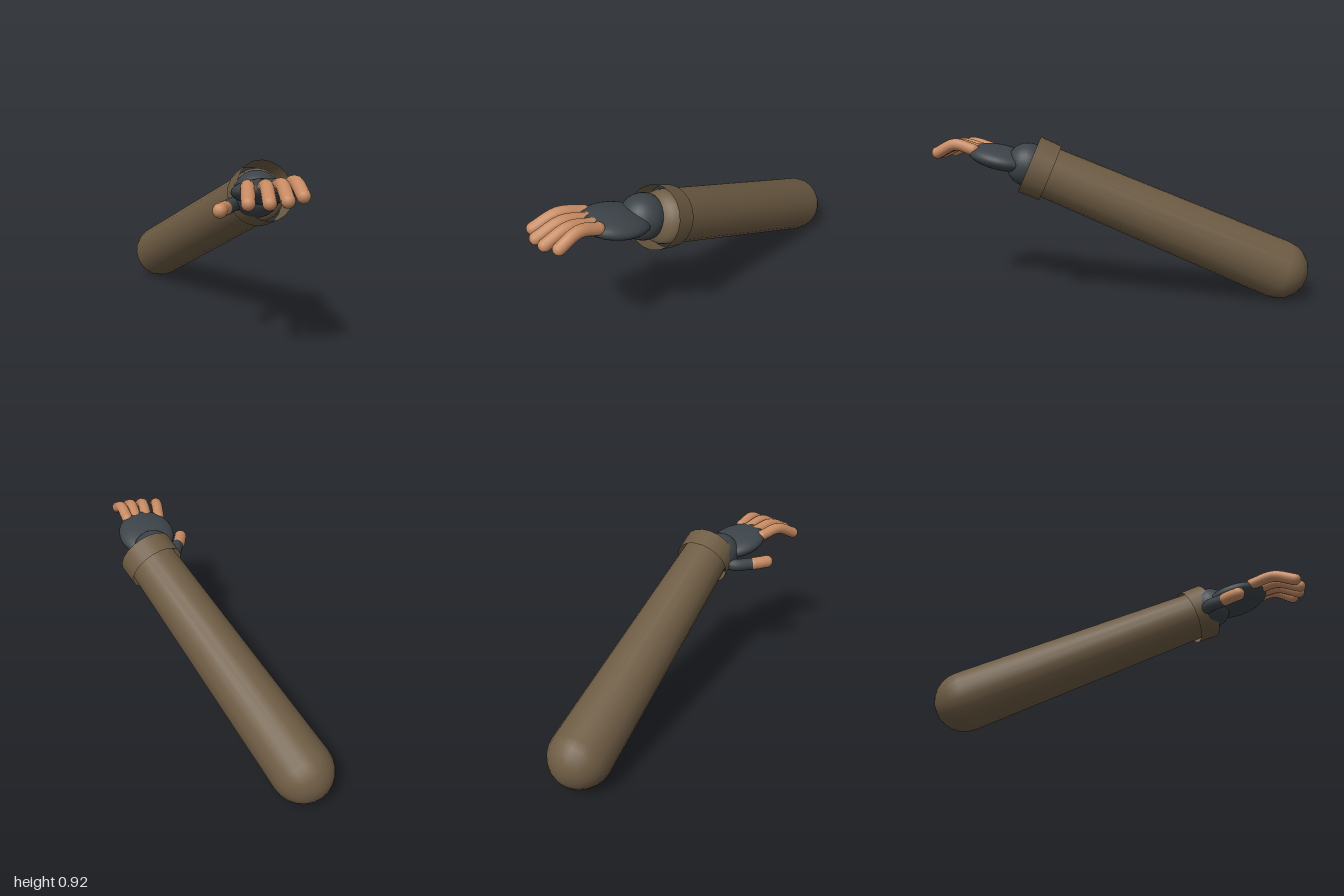
import * as THREE from 'three';

const V = (x, y, z) => new THREE.Vector3(x, y, z);
const UP = V(0, 1, 0);

export function createModel() {
  const mat = (name, color, side = THREE.FrontSide) => {
    const m = new THREE.MeshStandardMaterial({ color, side });
    m.name = name;
    return m;
  };
  const cloth = mat('brown cloth', 0x6e5c44, THREE.DoubleSide);
  const glove = mat('dark glove', 0x3c4348);
  const skin = mat('skin', 0xc68a62);

  const model = new THREE.Group();
  model.name = 'arm';
  const add = (name, geometry, material, parent = model) => {
    const mesh = new THREE.Mesh(geometry, material);
    mesh.name = name;
    parent.add(mesh);
    return mesh;
  };

  // Sleeve axis, elbow to wrist
  const elbow = V(0.30, 0.168, -0.833);
  const wrist = V(0.02, 0.745, 0.44);
  const axis = wrist.clone().sub(elbow);
  const length = axis.length();
  const forearm = new THREE.Group();
  forearm.name = 'forearm';
  forearm.position.copy(elbow);
  forearm.quaternion.setFromUnitVectors(UP, axis.normalize());
  model.add(forearm);

  // Sleeve: round elbow, slight taper, flattened dome at the wrist
  const profile = [];
  for (let i = 0; i <= 6; i++) {
    const a = (i / 6) * Math.PI / 2;
    profile.push(new THREE.Vector2(0.167 * Math.sin(a), -0.167 * Math.cos(a)));
  }
  for (let i = 0; i <= 6; i++) {
    const a = (i / 6) * Math.PI / 2;
    profile.push(new THREE.Vector2(0.138 * Math.cos(a), length + 0.07 * Math.sin(a)));
  }
  add('sleeve', new THREE.LatheGeometry(profile, 20), cloth, forearm);

  // Open cuff ring
  const cuff = add('cuff', new THREE.CylinderGeometry(0.16, 0.157, 0.118, 20, 1, true), cloth, forearm);
  cuff.position.y = length + 0.014;

  // Wrist ball
  const ball = add('wrist', new THREE.SphereGeometry(0.118, 24, 16), glove);
  ball.position.set(-0.053, 0.762, 0.502);

  // Palm: flattened ellipsoid, pitched up and turned outward
  const palm = add('palm', new THREE.SphereGeometry(1, 32, 20), glove);
  palm.scale.set(0.158, 0.062, 0.185);
  palm.position.set(-0.128, 0.797, 0.635);
  palm.rotation.set(-0.22, -0.55, 0, 'YXZ');

  // Rounded digit: a tube along a bent path with ball ends
  const digit = (name, points, radius, material) => {
    const group = new THREE.Group();
    group.name = name;
    model.add(group);
    const curve = new THREE.CatmullRomCurve3(points);
    add(name + 'Shaft', new THREE.TubeGeometry(curve, 12, radius, 14), material, group);
    for (const p of [points[0], points[points.length - 1]]) {
      add(name + 'End', new THREE.SphereGeometry(radius, 14, 10), material, group).position.copy(p);
    }
  };

  // Fingers: root, then tip
  const fingers = [
    [V(-0.275, 0.832, 0.675), V(-0.434, 0.802, 0.862)],
    [V(-0.220, 0.836, 0.725), V(-0.370, 0.805, 0.925)],
    [V(-0.170, 0.840, 0.760), V(-0.296, 0.812, 0.960)],
    [V(-0.122, 0.845, 0.785), V(-0.211, 0.824, 0.968)],
  ];
  fingers.forEach(([root, tip], i) => {
    const knuckle = root.clone().lerp(tip, 0.5);
    knuckle.y += 0.036;
    digit('finger' + (i + 1), [root, knuckle, tip], 0.032, skin);
  });

  // Thumb: gloved base and bare tip
  digit('thumbBase', [V(-0.10, 0.722, 0.455), V(-0.17, 0.715, 0.455), V(-0.245, 0.713, 0.50)], 0.036, glove);
  digit('thumbTip', [V(-0.265, 0.714, 0.508), V(-0.30, 0.716, 0.53), V(-0.333, 0.717, 0.555)], 0.0365, skin);

  return model;
}
